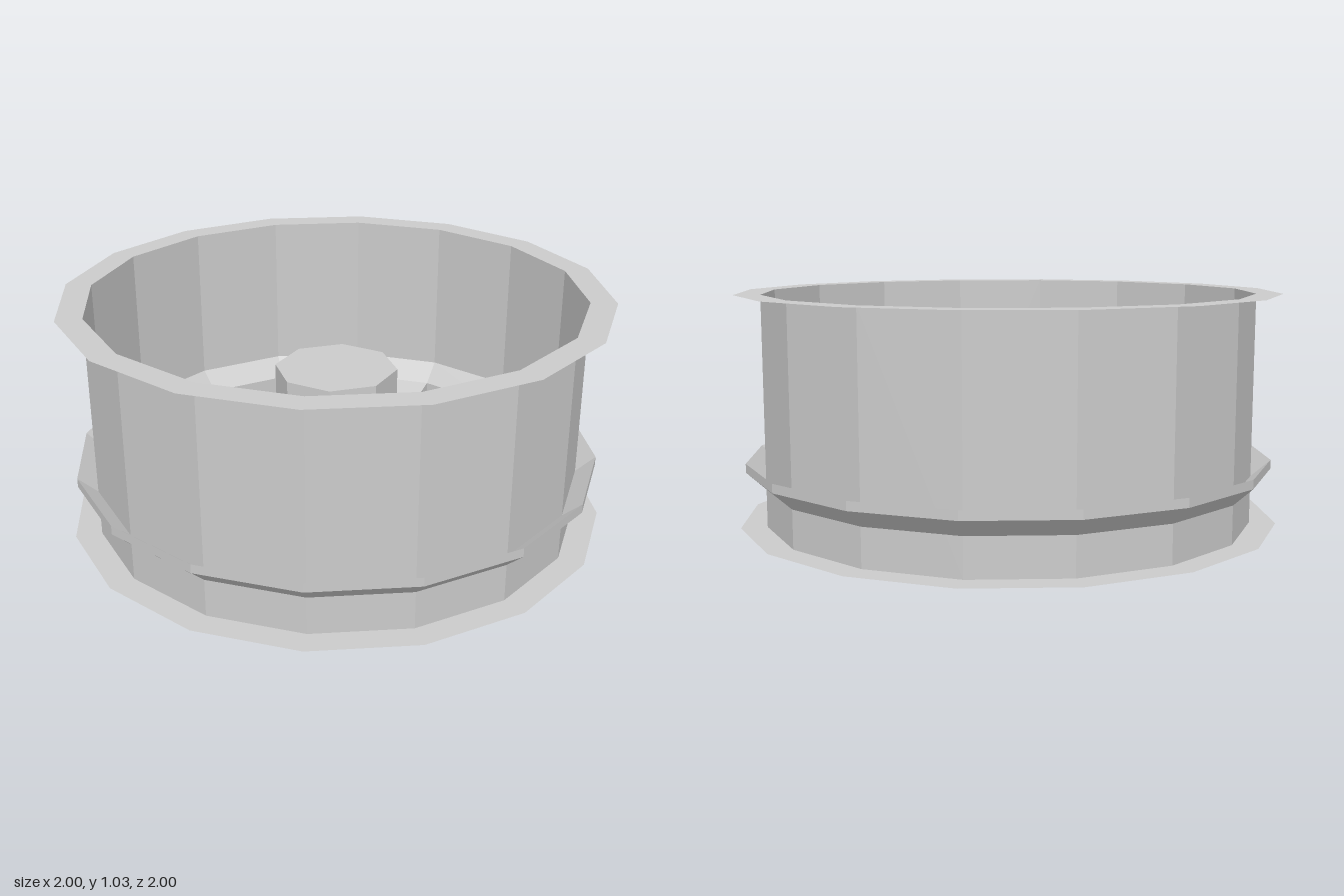
import * as THREE from 'three';

const SIDES = 16;
const material = new THREE.MeshStandardMaterial({
  color: 0xcccccc, flatShading: true, side: THREE.DoubleSide,
});
const points = (list) => list.map(([r, y]) => new THREE.Vector2(r, y));

function add(parent, name, geometry) {
  const mesh = new THREE.Mesh(geometry, material);
  mesh.name = name;
  parent.add(mesh);
  return mesh;
}

// Surface of revolution from [radius, height] pairs
const turned = (list, sides = SIDES, start = 0, length = Math.PI * 2) =>
  new THREE.LatheGeometry(points(list), sides, start, length);

// Upright octagonal prism between two heights
function octagon(radius, bottom, top) {
  const g = new THREE.CylinderGeometry(radius, radius, top - bottom, 8);
  return g.translate(0, (top + bottom) / 2, 0);
}

export function createModel() {
  const wheel = new THREE.Group();
  wheel.name = 'wheelRim';

  // Straight thin barrel, flat lips at both ends
  add(wheel, 'barrel', turned([[0.904, 0.185], [0.904, 1.03]]));
  add(wheel, 'upperLip', turned([[1, 1.03], [0.904, 1.03]]));
  add(wheel, 'lowerLip', turned([[1, 0.185], [0.904, 0.185]]));

  // Flared ridge around the outside, with a groove behind its edge
  add(wheel, 'outerRidge', turned([
    [0.904, 0.325], [0.975, 0.39], [0.975, 0.423], [0.904, 0.36],
  ]));

  // Sloped ring inside the barrel that carries the spokes
  add(wheel, 'spokeRing', turned([
    [0.904, 0.31], [0.83, 0.28], [0.83, 0.36], [0.904, 0.43],
  ].reverse()));

  // Hub disc with a stepped underside
  add(wheel, 'hubDisc', turned([
    [0, 0.125], [0.573, 0.125], [0.573, 0.182], [0.61, 0.182], [0.61, 0.29], [0, 0.29],
  ]));
  add(wheel, 'hubPlate', octagon(0.52, 0.27, 0.44));
  add(wheel, 'hubCap', octagon(0.227, 0.42, 0.745));
  add(wheel, 'hubNub', octagon(0.31, 0, 0.14));

  // Four broad spokes rising from the hub to the ring
  const section = [[0.605, 0.182], [0.83, 0.28], [0.83, 0.36], [0.605, 0.29], [0.605, 0.182]];
  const end = new THREE.ShapeGeometry(new THREE.Shape(points(section)));
  for (let i = 0; i < 4; i++) {
    const spoke = new THREE.Group();
    spoke.name = 'spoke';
    spoke.rotation.y = i * Math.PI / 2;
    add(spoke, 'spokeBody', turned(section, 2, Math.PI / 8, Math.PI / 4));
    for (const angle of [Math.PI / 8, 3 * Math.PI / 8]) {
      add(spoke, 'spokeSide', end).rotation.y = angle - Math.PI / 2;
    }
    wheel.add(spoke);
  }
  return wheel;
}
